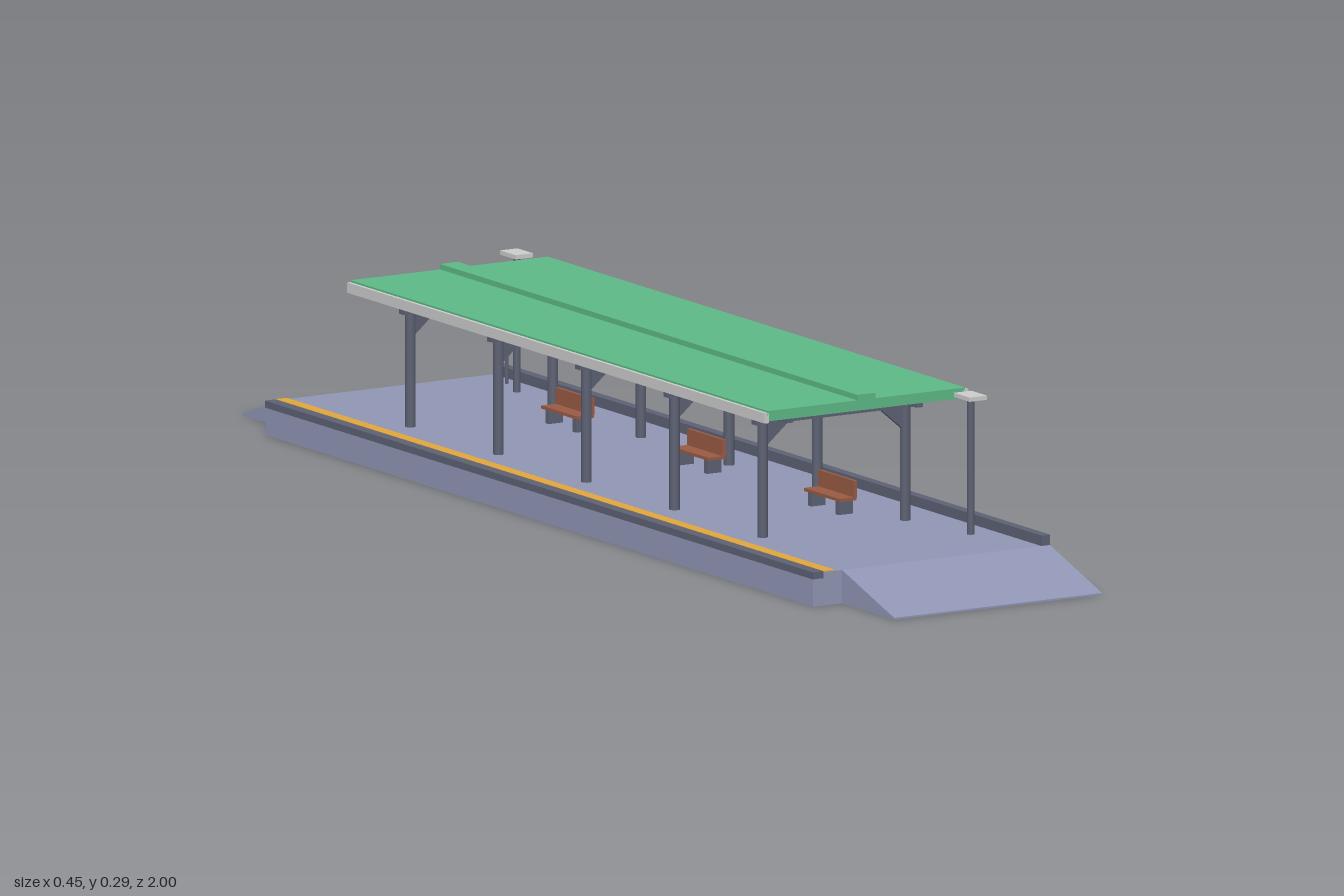
import * as THREE from 'three';

const mat = (color) => new THREE.MeshStandardMaterial({ color });

export function createModel() {
  const model = new THREE.Group();
  const concrete = mat(0x8f95b3), steel = mat(0x5c6072), yellow = mat(0xe0a63c);
  const green = mat(0x5cb885), wood = mat(0x985a44), blue = mat(0x3c4299), grey = mat(0xcccccc);

  const add = (parent, name, geometry, material) => {
    const mesh = new THREE.Mesh(geometry, material);
    mesh.name = name;
    parent.add(mesh);
    return mesh;
  };
  // Box given by its extents on each axis
  const box = (parent, name, material, [x0, x1], [y0, y1], [z0, z1]) =>
    add(parent, name, new THREE.BoxGeometry(x1 - x0, y1 - y0, z1 - z0), material)
      .position.set((x0 + x1) / 2, (y0 + y1) / 2, (z0 + z1) / 2);
  // Upright pole
  const pole = (parent, name, r, x, z, y0, y1) =>
    add(parent, name, new THREE.CylinderGeometry(r, r, y1 - y0, 12), steel)
      .position.set(x, (y0 + y1) / 2, z);
  const group = (name, z = 0) => {
    const g = new THREE.Group();
    g.name = name;
    g.position.z = z;
    model.add(g);
    return g;
  };

  const deck = 0.055, half = 0.84;

  // Platform body with a ramp at both ends
  const profile = new THREE.Shape([
    [-1, 0], [1, 0], [1, 0.003], [half, deck], [-half, deck], [-1, 0.003],
  ].map(([x, y]) => new THREE.Vector2(x, y)));
  const body = new THREE.ExtrudeGeometry(profile, { depth: 0.394, bevelEnabled: false });
  body.rotateY(Math.PI / 2).translate(-0.17, 0, 0);
  add(model, 'platformWithRamps', body, concrete);

  // Track side: wall, coping and warning line
  box(model, 'trackSideWall', concrete, [-0.2245, -0.17], [0, deck], [-half, half]);
  box(model, 'coping', steel, [-0.225, -0.205], [0.045, 0.0565], [-half - 0.0005, half + 0.0005]);
  box(model, 'warningLine', yellow, [-0.205, -0.184], [0.05, 0.057], [-half, half]);
  box(model, 'rearCurb', steel, [0.208, 0.2245], [0.05, 0.072], [-half, half]);

  // Canopy frames: columns, crossbeam and corner braces
  const braceShape = new THREE.Shape([
    new THREE.Vector2(0.13, 0.243), new THREE.Vector2(0.085, 0.243), new THREE.Vector2(0.13, 0.205),
  ]);
  for (const z of [-0.54, -0.27, 0, 0.27, 0.54]) {
    const frame = group('canopyFrame', z);
    box(frame, 'crossbeam', steel, [-0.152, 0.152], [0.241, 0.256], [-0.007, 0.007]);
    for (const side of [-1, 1]) {
      pole(frame, 'column', 0.0085, side * 0.135, 0, deck, 0.245);
      const brace = new THREE.ExtrudeGeometry(braceShape, { depth: 0.008, bevelEnabled: false });
      brace.translate(0, 0, -0.004);
      if (side < 0) brace.rotateY(Math.PI);
      add(frame, 'brace', brace, steel);
    }
  }

  // Roof with purlins, gutters and ridge cap
  for (const side of [-1, 1]) {
    const x = side * 0.123, g = side * 0.189;
    box(model, 'purlin', steel, [x - 0.006, x + 0.006], [0.252, 0.265], [-0.605, 0.605]);
    box(model, 'gutter', grey, [g - 0.004, g + 0.004], [0.264, 0.281], [-0.64, 0.64]);
  }
  box(model, 'roof', green, [-0.187, 0.187], [0.267, 0.284], [-0.64, 0.64]);
  box(model, 'ridgeCap', green, [-0.017, 0.017], [0.28, 0.293], [-0.64, 0.64]);

  // Benches
  for (const z of [-0.403, 0, 0.403]) {
    const bench = group('bench', z);
    box(bench, 'seat', wood, [0.062, 0.094], [0.078, 0.083], [-0.055, 0.055]);
    box(bench, 'backrest', wood, [0.089, 0.095], [0.082, 0.11], [-0.055, 0.055]);
    for (const s of [-0.042, 0.042])
      box(bench, 'leg', steel, [0.065, 0.092], [deck, 0.079], [s - 0.005, s + 0.005]);
  }

  // Lamps beyond each end of the roof
  for (const z of [-0.696, 0.696]) {
    const lamp = group('lamp', z);
    pole(lamp, 'lampPost', 0.006, 0.163, 0, deck, 0.28);
    box(lamp, 'lampHead', grey, [0.146, 0.179], [0.278, 0.285], [-0.024, 0.024]);
  }

  // Sign board on a thin post at the back end
  const sign = group('sign', -0.763);
  pole(sign, 'signPost', 0.003, 0.185, 0, deck, 0.195);
  box(sign, 'signBoard', blue, [0.182, 0.189], [0.155, 0.203], [-0.095, 0.095]);

  return model;
}
